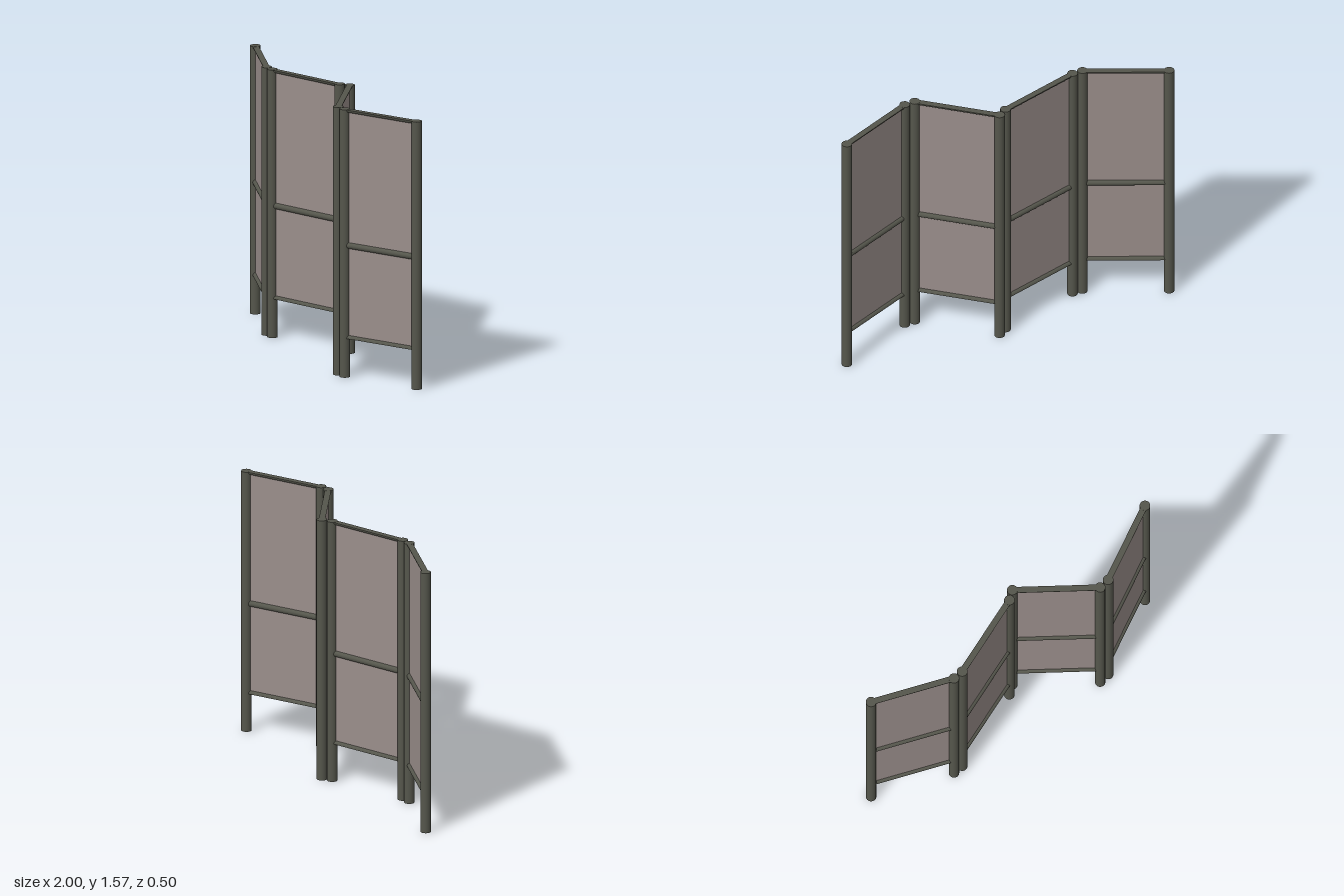
import * as THREE from 'three';

const HEIGHT = 1.57, BOTTOM = 0.228, MIDDLE = 0.772;
const POST_R = 0.03, RAIL_R = 0.018;

// Post pairs for each leaf, as [x, z] on the floor
const LEAVES = [
  [[-0.97, -0.22], [-0.537, 0.014]],
  [[-0.475, 0.018], [0.02, -0.095]],
  [[0.075, -0.126], [0.437, 0.217]],
  [[0.502, 0.217], [0.967, 0.05]],
];

const wood = new THREE.MeshStandardMaterial({ color: 0x55564c });
const cloth = new THREE.MeshStandardMaterial({ color: 0x9a8e8b });

function addMesh(parent, name, geometry, material, x, y) {
  const mesh = new THREE.Mesh(geometry, material);
  mesh.name = name;
  mesh.position.set(x, y, 0);
  parent.add(mesh);
  return mesh;
}

// Half-round bar along x: round side up, flat side on y = 0
function halfRail(length) {
  const section = new THREE.Shape();
  section.absarc(0, 0, RAIL_R, 0, Math.PI, false);
  section.closePath();
  return new THREE.ExtrudeGeometry(section, { depth: length, bevelEnabled: false, curveSegments: 12 })
    .translate(0, 0, -length / 2)
    .rotateY(Math.PI / 2);
}

function makeLeaf([a, b]) {
  const leaf = new THREE.Group();
  const dx = b[0] - a[0], dz = b[1] - a[1];
  const width = Math.hypot(dx, dz);
  leaf.position.set((a[0] + b[0]) / 2, 0, (a[1] + b[1]) / 2);
  leaf.rotation.y = -Math.atan2(dz, dx);

  // Round posts at both sides
  for (const side of [-1, 1]) {
    addMesh(leaf, side < 0 ? 'rightPost' : 'leftPost',
      new THREE.CylinderGeometry(POST_R, POST_R, HEIGHT, 24), wood, side * width / 2, HEIGHT / 2);
  }

  // Rails run into the posts; the top one is flush with the post tops
  const span = width - POST_R;
  const top = addMesh(leaf, 'topRail', halfRail(span), wood, 0, HEIGHT - 0.001);
  top.rotation.x = Math.PI;
  addMesh(leaf, 'bottomRail', halfRail(span), wood, 0, BOTTOM);
  addMesh(leaf, 'middleRail',
    new THREE.CylinderGeometry(RAIL_R, RAIL_R, span, 24).rotateZ(Math.PI / 2), wood, 0, MIDDLE);

  // Thin cloth between the rails
  const clothHeight = HEIGHT - BOTTOM - 0.01;
  addMesh(leaf, 'clothPanel',
    new THREE.BoxGeometry(span, clothHeight, 0.006), cloth, 0, (HEIGHT + BOTTOM) / 2);
  return leaf;
}

export function createModel() {
  const screen = new THREE.Group();
  screen.name = 'foldingScreen';
  LEAVES.forEach((posts, i) => {
    const leaf = makeLeaf(posts);
    leaf.name = `leaf${i + 1}`;
    screen.add(leaf);
  });
  return screen;
}
